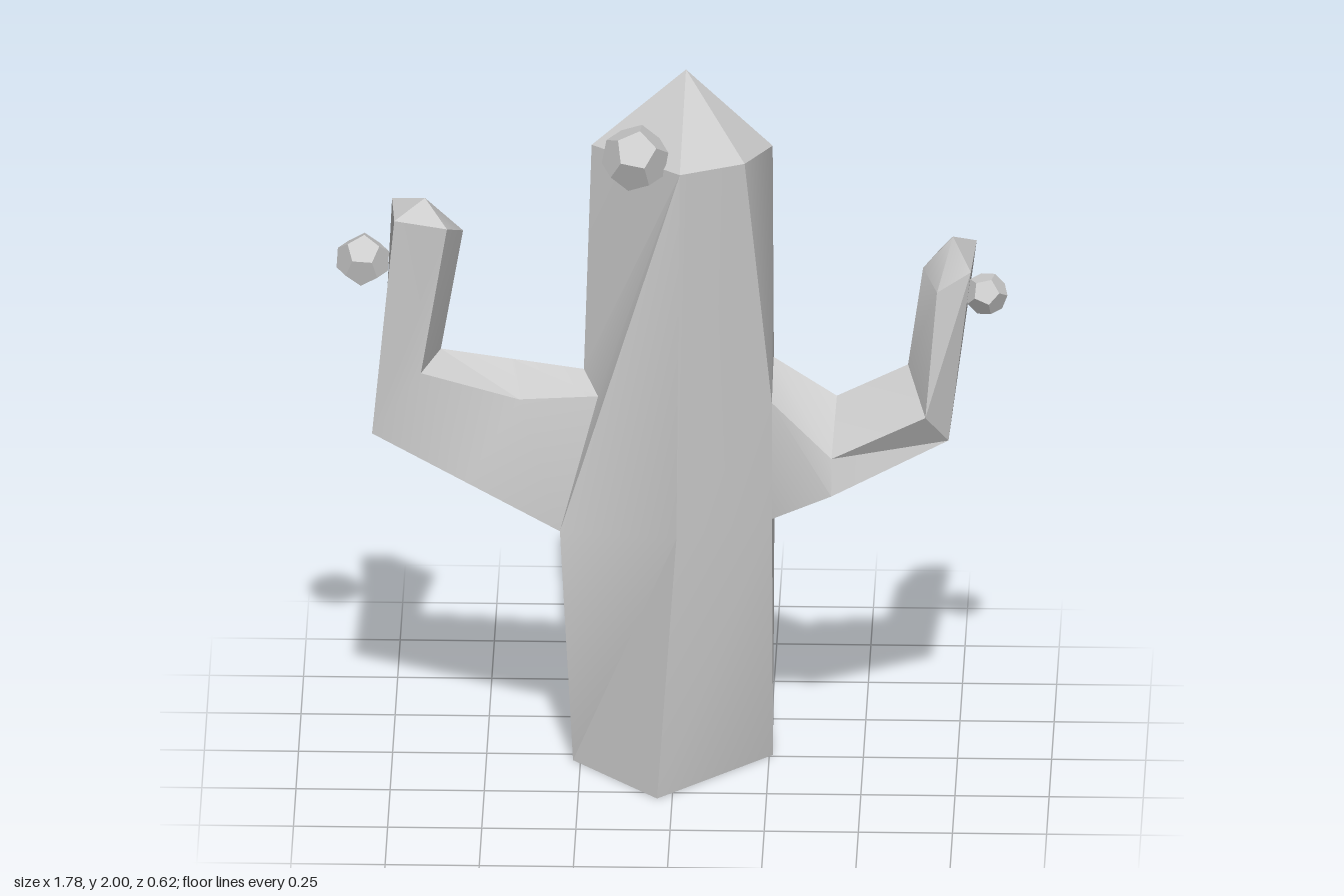
import * as THREE from 'three';
import { toCreasedNormals } from 'three/addons/utils/BufferGeometryUtils.js';

const grey = new THREE.MeshStandardMaterial({ color: 0xcccccc });

// Fan-triangulate a polygon of points, skipping collapsed corners
function polygon(out, pts) {
  for (let i = 1; i < pts.length - 1; i++) {
    const tri = [pts[0], pts[i], pts[i + 1]];
    if (tri[0] === tri[1] || tri[1] === tri[2] || tri[0] === tri[2]) continue;
    tri.forEach((p) => out.push(...p));
  }
}

// Close a ring with a pointed tip
function tip(out, ring, apex) {
  ring.forEach((p, i) => polygon(out, [p, ring[(i + 1) % ring.length], apex]));
}

// Skin a series of rings and finish with a pointed tip
function limb(rings, apex) {
  const out = [];
  for (let r = 0; r < rings.length - 1; r++) {
    const a = rings[r], b = rings[r + 1], n = a.length;
    for (let i = 0; i < n; i++) {
      const j = (i + 1) % n;
      polygon(out, [a[i], a[j], b[j], b[i]]);
    }
  }
  tip(out, rings[rings.length - 1], apex);
  return out;
}

const mix = (a, b, t) => a.map((v, i) => v + (b[i] - v) * t);

export function createModel() {
  const group = new THREE.Group();

  // Trunk corners: base, waist and shoulder
  const F0 = [-0.04, 0, 0.29], R0 = [0.26, 0, -0.01], B0 = [-0.04, 0, -0.31], L0 = [-0.27, 0, 0.04];
  const Fm = [0.01, 0.73, 0.24], Lm = [-0.3, 0.74, 0.22], Bm = [0, 0.71, -0.26];
  const Ft = [0.02, 1.8, 0.28], FRt = [0.19, 1.8, 0.2], Rt = [0.26, 1.78, 0.03];
  const Bt = [0, 1.8, -0.18], Lt = [-0.22, 1.79, 0.06];

  // Where the arms leave the trunk
  const lt = [-0.2, 1.11, 0.17], lu = [-0.24, 1.15, 0.08];
  const u = [0.26, 1.13, -0.06], t = [0.26, 1.07, 0.11], f = [0.26, 0.73, 0.1];
  const d = [0.26, 0.68, -0.03], k = [0.26, 0.73, -0.16];

  const trunk = [];
  [
    [L0, B0, R0, F0],
    [F0, R0, f, Fm], [Fm, f, t, FRt, Ft], [t, u, Rt, FRt],
    [R0, d, f], [R0, B0, k, d], [B0, Bm, k], [k, Bm, Bt, Rt, u],
    [B0, L0, Lm, Bm], [Bm, lu, Lt, Bt],
    [L0, F0, Fm, Lm], [Lm, Fm, Ft, lt], [lu, lt, Ft, Lt],
  ].forEach((face) => polygon(trunk, face));
  tip(trunk, [Ft, FRt, Rt, Bt, Lt], [0.03, 2, 0.035]);

  // Broad arm on the -x side
  const eb = [-0.78, 1, 0.01], ef = [-0.8, 1, 0.18], et = [-0.67, 1.18, 0.19], eu = [-0.62, 1.2, 0.07];
  const midTop = mix(lu, eu, 0.5);
  const broadArm = limb([
    [Bm, Lm, lt, lu, lu],
    [mix(Bm, eb, 0.5), mix(Lm, ef, 0.5), [-0.41, 1.09, 0.15], midTop, midTop],
    [eb, ef, et, eu, eu],
    [[-0.75, 1.63, 0.06], [-0.74, 1.63, 0.215], [-0.6, 1.61, 0.22], [-0.56, 1.56, 0.11], [-0.67, 1.6, 0.035]],
  ], [-0.66, 1.67, 0.15]);

  // Slim arm on the +x side
  const slimArm = limb([
    [u, t, f, d, k],
    [[0.43, 1.05, 0.01], [0.42, 0.94, 0.18], [0.42, 0.84, 0.2], [0.4, 0.8, 0], [0.42, 0.92, -0.14]],
    [[0.62, 1.16, 0.05], [0.67, 1.07, 0.2], [0.73, 0.98, 0.14], [0.73, 0.95, -0.06], [0.69, 1.03, -0.09]],
    [[0.66, 1.44, 0.05], [0.7, 1.42, 0.17], [0.79, 1.48, 0.17], [0.8, 1.48, -0.045], [0.71, 1.46, -0.05]],
  ], [0.74, 1.54, 0.07]);

  // Shade trunk and arms together so they blend, then split them into parts
  const parts = { trunk, broadArm, slimArm };
  const whole = new THREE.BufferGeometry();
  whole.setAttribute('position', new THREE.Float32BufferAttribute(Object.values(parts).flat(), 3));
  const shaded = toCreasedNormals(whole, 0.5);
  let start = 0;
  for (const [name, data] of Object.entries(parts)) {
    const geometry = new THREE.BufferGeometry();
    for (const key of ['position', 'normal']) {
      const array = shaded.attributes[key].array.slice(start, start + data.length);
      geometry.setAttribute(key, new THREE.BufferAttribute(array, 3));
    }
    start += data.length;
    const mesh = new THREE.Mesh(geometry, grey);
    mesh.name = name;
    group.add(mesh);
  }

  // Faceted flower buds
  [
    ['trunkBud', 0.09, [-0.1, 1.825, 0.225], [0.3, 0.4, 0.2]],
    ['broadArmBud', 0.073, [-0.825, 1.495, 0.16], [0.1, 0.5, 0.3]],
    ['slimArmBud', 0.058, [0.83, 1.408, 0.145], [0.5, 0.2, 0.1]],
  ].forEach(([name, radius, position, turn]) => {
    const bud = new THREE.Mesh(new THREE.DodecahedronGeometry(radius), grey);
    bud.name = name;
    bud.position.set(...position);
    bud.rotation.set(...turn);
    group.add(bud);
  });

  return group;
}
